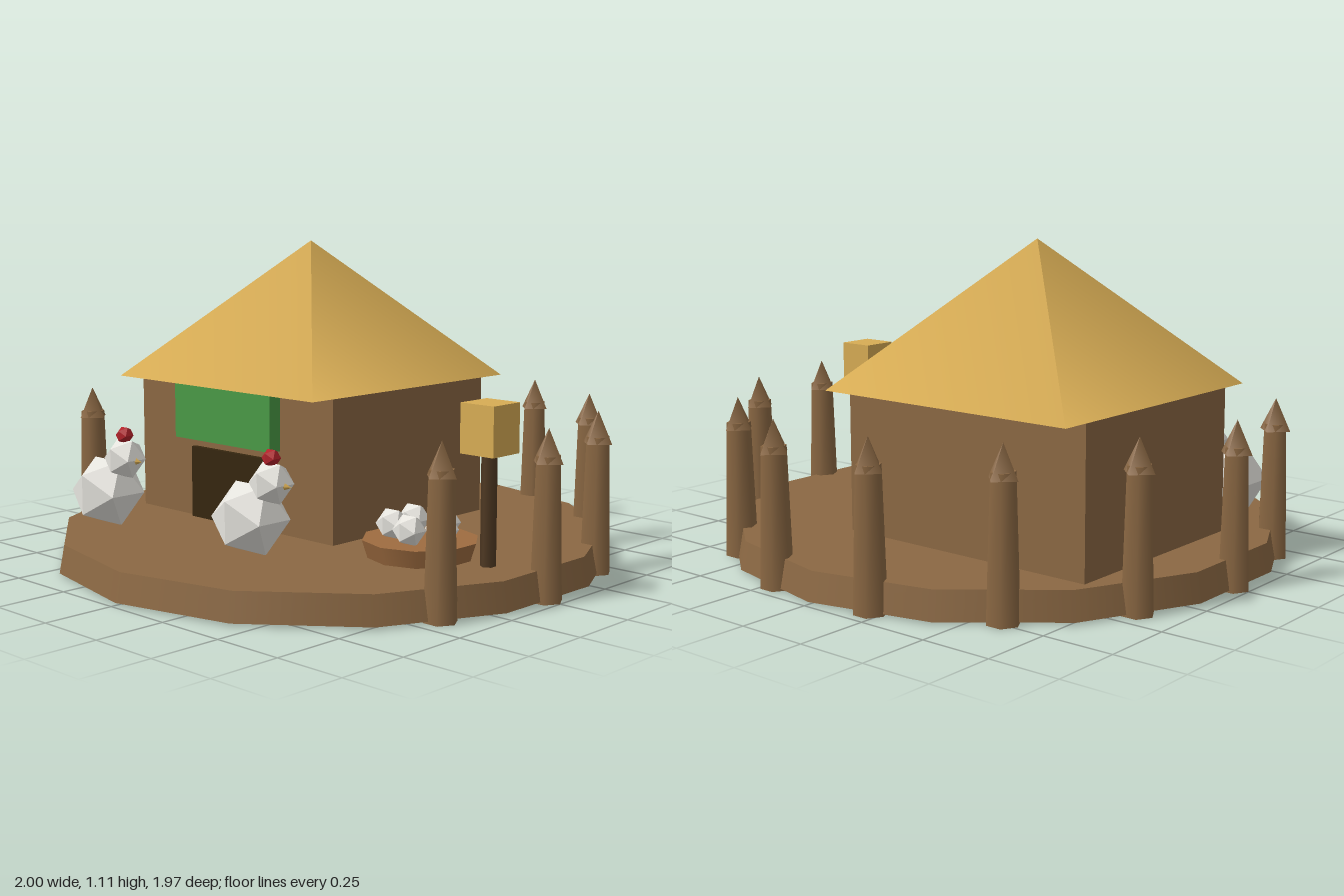
import * as THREE from 'three';

const mat = (name, color, flatShading = false) => {
  const m = new THREE.MeshStandardMaterial({ color, flatShading });
  m.name = name;
  return m;
};

export function createModel() {
  const root = new THREE.Group();
  root.name = 'henFarm';

  const wood = mat('brownWood', 0x8b6843);
  const straw = mat('goldenStraw', 0xd7ac54);
  const green = mat('awningGreen', 0x4a9a46);
  const dark = mat('doorDark', 0x35260f);
  const poleWood = mat('darkPoleWood', 0x4e3822);
  const basket = mat('nestWood', 0x9e6c40);
  const white = mat('featherWhite', 0xe6e4de, true);
  const red = mat('combRed', 0xb2222a, true);

  const add = (parent, name, geometry, material, x, y, z) => {
    const mesh = new THREE.Mesh(geometry, material);
    mesh.name = name;
    mesh.position.set(x, y, z);
    parent.add(mesh);
    return mesh;
  };

  // Ground disc, 14 sides, slightly tapered
  add(root, 'ground', new THREE.CylinderGeometry(0.965, 0.983, 0.097, 14), wood, 0, 0.0565, 0);

  // House walls, pyramid roof, door and awning
  add(root, 'walls', new THREE.BoxGeometry(0.99, 0.5, 0.79), wood, -0.25, 0.355, -0.145);
  const roofGeo = new THREE.ConeGeometry(0.709, 0.5, 4);
  roofGeo.rotateY(Math.PI / 4);
  add(root, 'roof', roofGeo, straw, -0.25, 0.855, -0.148);
  add(root, 'door', new THREE.BoxGeometry(0.4, 0.36, 0.03), dark, -0.25, 0.185, 0.255);
  add(root, 'awning', new THREE.BoxGeometry(0.495, 0.2, 0.05), green, -0.25, 0.499, 0.28);

  // Palisade: 14 places around the rim, the four at the front left open
  const postGeo = new THREE.CylinderGeometry(0.042, 0.056, 0.47, 6);
  const tipGeo = new THREE.ConeGeometry(0.058, 0.11, 4);
  for (let i = 6; i <= 15; i++) {
    const a = (i / 14) * Math.PI * 2;
    const post = new THREE.Group();
    post.name = 'fencePost';
    post.position.set(Math.cos(a) * 0.944, 0, Math.sin(a) * 0.944);
    const shaft = add(post, 'postShaft', postGeo, wood, 0, 0.235, 0);
    shaft.rotation.y = Math.PI / 2;
    add(post, 'postTip', tipGeo, wood, 0, 0.502, 0);
    root.add(post);
  }

  // Nest with a ring of five eggs
  const nest = new THREE.Group();
  nest.name = 'nest';
  nest.position.set(0.543, 0, 0.147);
  root.add(nest);
  add(nest, 'nestBowl', new THREE.CylinderGeometry(0.195, 0.145, 0.16, 10), basket, 0, 0.085, 0);
  const eggGeo = new THREE.IcosahedronGeometry(0.056, 0);
  for (let i = 0; i < 5; i++) {
    const a = (i / 5) * Math.PI * 2;
    add(nest, 'egg', eggGeo, white, Math.cos(a) * 0.092, 0.209, Math.sin(a) * 0.092);
  }

  // Signpost
  add(root, 'signPole', new THREE.CylinderGeometry(0.026, 0.026, 0.5, 6), poleWood, 0.788, 0.255, 0.1);
  add(root, 'signBox', new THREE.BoxGeometry(0.133, 0.163, 0.133), straw, 0.788, 0.552, 0.1);

  // Two hens facing +x
  const beakGeo = new THREE.ConeGeometry(0.02, 0.055, 4);
  beakGeo.rotateZ(-Math.PI / 2);
  for (const [x, z] of [[-0.598, 0.54], [0.098, 0.49]]) {
    const hen = new THREE.Group();
    hen.name = 'hen';
    hen.position.set(x, 0, z);
    add(hen, 'henBody', new THREE.IcosahedronGeometry(0.136, 0), white, 0, 0.218, 0);
    add(hen, 'henHead', new THREE.IcosahedronGeometry(0.077, 0), white, 0.1, 0.349, 0);
    add(hen, 'henComb', new THREE.IcosahedronGeometry(0.033, 0), red, 0.1, 0.432, 0);
    add(hen, 'henBeak', beakGeo, straw, 0.166, 0.346, 0);
    root.add(hen);
  }

  return root;
}
